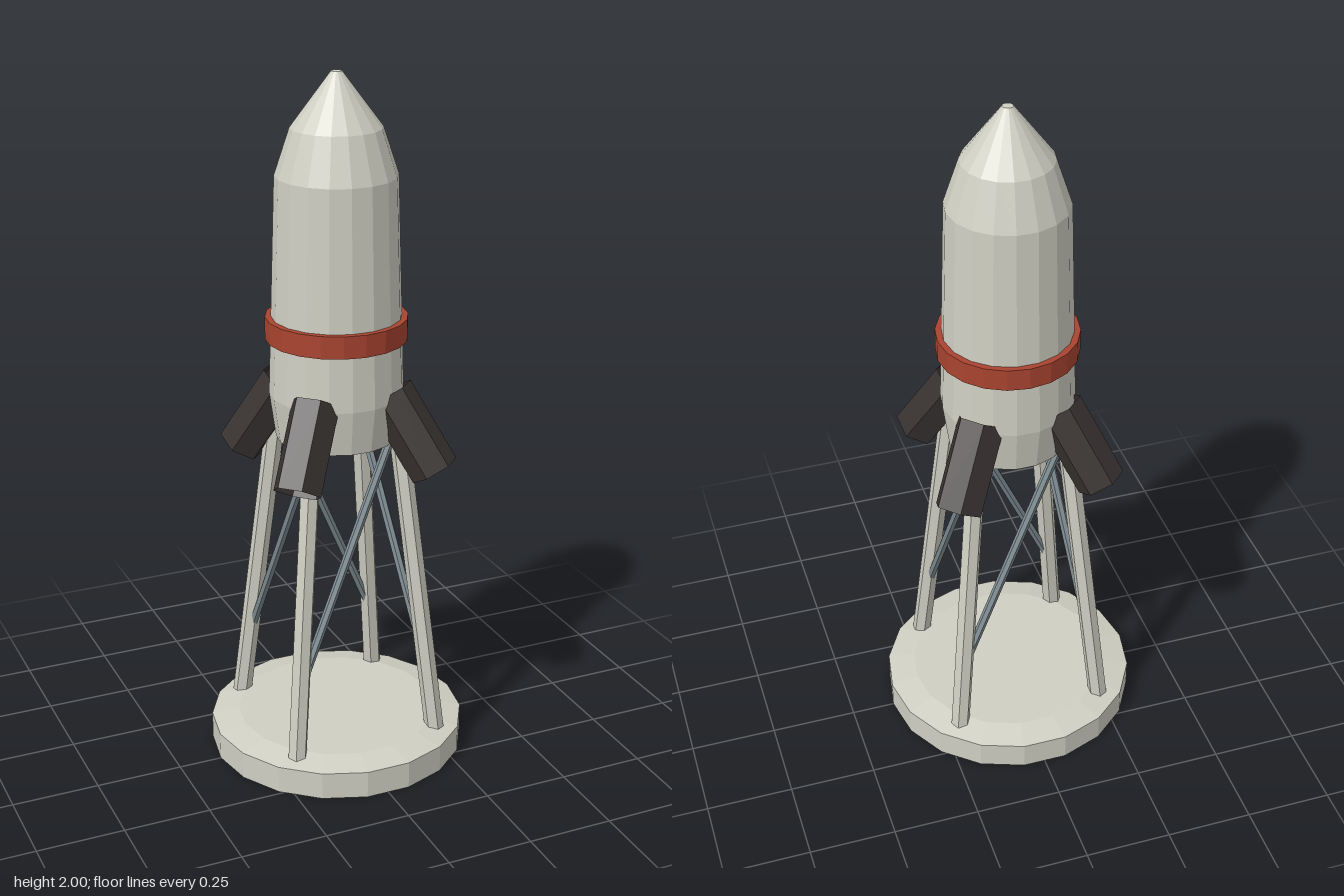
import * as THREE from 'three';

const mat = (name, color, extra = {}) => {
  const m = new THREE.MeshStandardMaterial({ color, flatShading: true, ...extra });
  m.name = name;
  return m;
};

export function createModel() {
  const shell = mat('pale shell', 0xd0cfc3);
  const red = mat('red band', 0xa94430);
  const dark = mat('dark nozzle', 0x3a3432, { side: THREE.DoubleSide });
  const steel = mat('blue grey steel', 0x7f8d92);

  const model = new THREE.Group();
  model.name = 'rocketOnStand';

  const add = (name, geometry, material, parent = model) => {
    const mesh = new THREE.Mesh(geometry, material);
    mesh.name = name;
    parent.add(mesh);
    return mesh;
  };

  // Faceted solid of revolution with a corner on the x axis
  const turned = (name, profile, sides, material) => {
    const points = profile.map(([r, y]) => new THREE.Vector2(r, y));
    add(name, new THREE.LatheGeometry(points, sides), material).rotation.y = Math.PI / 2;
  };

  // Straight bar between two points
  const bar = (name, a, b, radius, sides, material, parent) => {
    const from = new THREE.Vector3(...a);
    const dir = new THREE.Vector3(...b).sub(from);
    const mesh = add(name, new THREE.CylinderGeometry(radius, radius, dir.length(), sides), material, parent);
    mesh.position.copy(from).addScaledVector(dir, 0.5);
    mesh.quaternion.setFromUnitVectors(new THREE.Vector3(0, 1, 0), dir.normalize());
  };

  // Stand with a bevelled top
  turned('base', [[0, 0], [0.373, 0], [0.373, 0.08], [0.293, 0.097], [0, 0.097]], 18, shell);

  // Rocket body and nose
  turned('body', [[0, 0.97], [0.172, 0.97], [0.19, 1.1], [0.17, 1.72],
    [0.127, 1.85], [0.015, 2], [0, 2]], 18, shell);

  // Band around the body
  add('band', new THREE.CylinderGeometry(0.2, 0.2, 0.064, 20), red).position.y = 1.292;

  // Four quarters: leg, nozzle and one diagonal brace each
  for (let i = 0; i < 4; i++) {
    const quarter = new THREE.Group();
    quarter.name = 'quarter' + (i + 1);
    quarter.rotation.y = i * Math.PI / 2;
    model.add(quarter);

    bar('leg', [0.22, 0.07, 0.22], [0.132, 1.0, 0.132], 0.028, 6, shell, quarter);
    bar('brace', [-0.195, 0.3, 0.195], [0.12, 1.0, 0.12], 0.013, 6, steel, quarter);

    // Open hexagonal tube leaning outward on the diagonal
    const arm = new THREE.Group();
    arm.name = 'nozzleArm';
    arm.rotation.y = -Math.PI / 4;
    quarter.add(arm);
    const tube = add('nozzle', new THREE.CylinderGeometry(0.07, 0.07, 0.255, 6, 1, true), dark, arm);
    tube.position.set(0.226, 1.007, 0);
    tube.rotation.z = 0.575;
  }

  return model;
}
